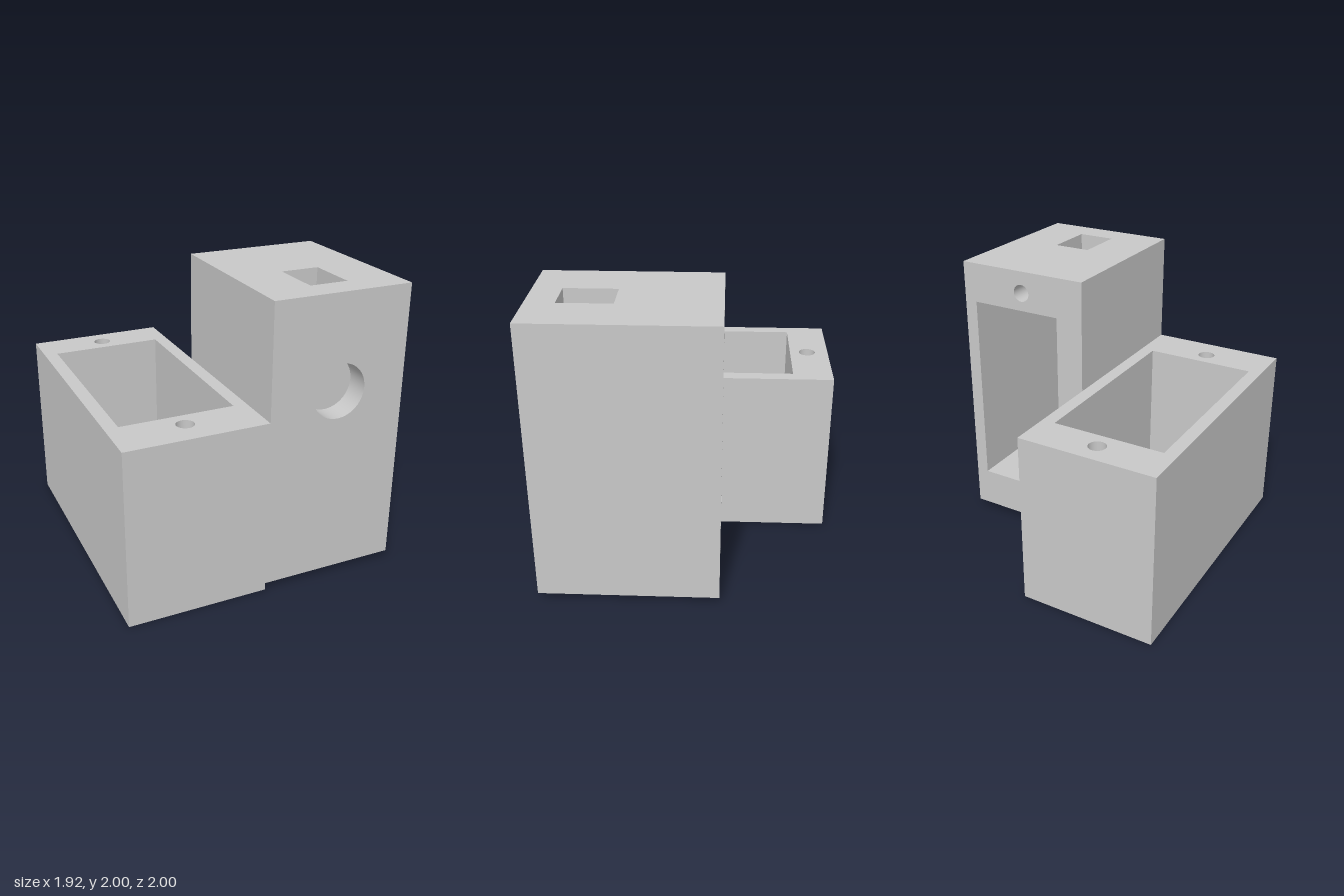
import * as THREE from 'three';

const W = 0.96, D = 1.223;               // body width and depth
const PW = 0.776, PL = 1.386, PD = 1.03; // pocket width, length and depth
const HUB_R = 0.187, HUB_D = 0.16;       // blind round recess behind the pocket
const SCREW_R = 0.06, SCREW_V = 0.82, SCREW_D = 0.4;
const SLOT = { x: -0.004, w: 0.265, h: 0.358, depth: 0.849 };
const H = Math.PI / 2;

export function createModel() {
  const grey = new THREE.MeshStandardMaterial({ color: 0xc8c8c8, side: THREE.DoubleSide });
  grey.name = 'light grey';

  const add = (parent, name, geometry, pos, rot = [0, 0, 0]) => {
    const mesh = new THREE.Mesh(geometry, grey);
    mesh.name = name;
    mesh.position.set(...pos);
    mesh.rotation.set(...rot);
    parent.add(mesh);
  };

  // Flat rectangle with round holes {x, y, r} or rectangular holes {x, y, w, h}
  const sheet = (w, h, holes = []) => {
    const rect = (path, x, y, a, b) => path.moveTo(x - a / 2, y - b / 2).lineTo(x + a / 2, y - b / 2)
      .lineTo(x + a / 2, y + b / 2).lineTo(x - a / 2, y + b / 2).closePath();
    const shape = new THREE.Shape();
    rect(shape, 0, 0, w, h);
    for (const o of holes) {
      const path = new THREE.Path();
      if (o.r) path.absarc(o.x, o.y, o.r, 0, Math.PI * 2, true);
      else rect(path, o.x, o.y, o.w, o.h);
      shape.holes.push(path);
    }
    return new THREE.ShapeGeometry(shape, 24);
  };

  // Round blind hole along z, from z = from towards z = to, closed at the far end
  const bore = (parent, name, r, y, from, to) => {
    add(parent, name + 'Wall', new THREE.CylinderGeometry(r, r, Math.abs(to - from), 48, 1, true),
      [0, y, (from + to) / 2], [H, 0, 0]);
    add(parent, name + 'End', new THREE.CircleGeometry(r, 48), [0, y, to], [0, to < from ? 0 : Math.PI, 0]);
  };

  // Housing with its pocket opening towards +z at z = 0, pocket centred on y = 0
  const housing = (name, low, high, hubY, slotted) => {
    const g = new THREE.Group();
    g.name = name;
    const L = high - low, mid = (low + high) / 2;
    const slotAt = y => slotted ? [{ ...SLOT, y }] : [];

    // outer faces
    add(g, 'mouthFace', sheet(W, L, [
      { x: 0, y: -mid, w: PW, h: PL },
      { x: 0, y: SCREW_V - mid, r: SCREW_R },
      { x: 0, y: -SCREW_V - mid, r: SCREW_R }]), [0, mid, 0]);
    add(g, 'rearFace', sheet(W, L, [{ x: 0, y: hubY - mid, r: HUB_R }]), [0, mid, -D], [0, Math.PI, 0]);
    for (const s of [-1, 1]) {
      add(g, 'sideFace', sheet(D, L), [s * W / 2, mid, -D / 2], [0, s * H, 0]);
      add(g, 'pocketSide', sheet(PD, PL), [s * PW / 2, 0, -PD / 2], [0, -s * H, 0]);
    }
    add(g, 'upperEnd', sheet(W, D, slotAt(SLOT.depth - D / 2)), [0, high, -D / 2], [-H, 0, 0]);
    add(g, 'lowerEnd', sheet(W, D), [0, low, -D / 2], [H, 0, 0]);

    // pocket
    add(g, 'pocketFloor', sheet(PW, PL), [0, 0, -PD]);
    add(g, 'pocketUpperWall', sheet(PW, PD, slotAt(PD / 2 - SLOT.depth)), [0, PL / 2, -PD / 2], [H, 0, 0]);
    add(g, 'pocketLowerWall', sheet(PW, PD), [0, -PL / 2, -PD / 2], [-H, 0, 0]);

    // screw holes and round recess
    for (const s of [-1, 1]) bore(g, 'screwHole', SCREW_R, s * SCREW_V, 0, -SCREW_D);
    bore(g, 'hubRecess', HUB_R, hubY, -D, -D + HUB_D);

    // cable slot from the upper end into the pocket
    if (slotted) {
      const t = high - PL / 2, y = (high + PL / 2) / 2;
      for (const s of [-1, 1]) {
        add(g, 'slotSide', sheet(SLOT.h, t), [SLOT.x + s * SLOT.w / 2, y, -SLOT.depth], [0, -s * H, 0]);
        add(g, 'slotEnd', sheet(SLOT.w, t), [SLOT.x, y, -SLOT.depth + s * SLOT.h / 2],
          [0, s > 0 ? Math.PI : 0, 0]);
      }
    }
    return g;
  };

  const model = new THREE.Group();
  model.name = 'doubleHousing';

  // lying housing, pocket opening upwards
  const lying = housing('lyingHousing', -1.025, 0.975, -0.34, false);
  lying.rotation.x = -H;
  lying.position.set(-W / 2, D, -0.025);

  // standing housing, pocket opening backwards
  const standing = housing('standingHousing', -0.975, 0.975, 0.328, true);
  standing.rotation.y = Math.PI;
  standing.position.set(W / 2, 1.025, 1 - D);

  model.add(lying, standing);
  return model;
}
